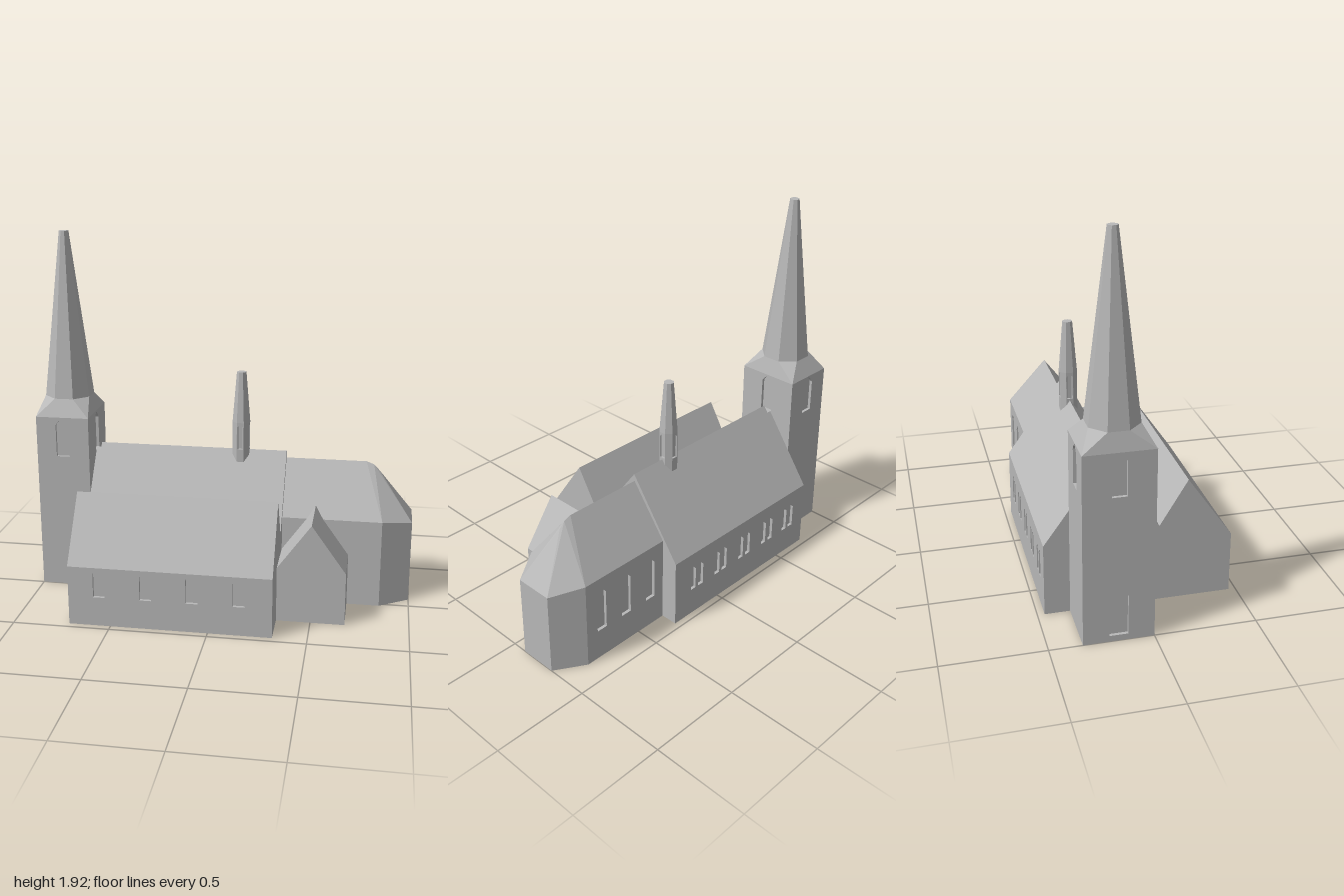
import * as THREE from 'three';
import { ConvexGeometry } from 'three/addons/geometries/ConvexGeometry.js';

const D = 0.016; // depth of window recesses

export function createModel() {
  const root = new THREE.Group();
  const stone = new THREE.MeshStandardMaterial({ color: 0xb8b8b8 });
  stone.name = 'stoneGrey';

  const add = (name, geo, x = 0, y = 0, z = 0, ry = 0) => {
    const m = new THREE.Mesh(geo, stone);
    m.name = name;
    m.position.set(x, y, z);
    m.rotation.y = ry;
    root.add(m);
    return m;
  };
  const poly = pts => new THREE.Shape(pts.map(p => new THREE.Vector2(p[0], p[1])));
  const extrude = (shape, depth) => new THREE.ExtrudeGeometry(shape, { depth, bevelEnabled: false });
  const hull = pts => new ConvexGeometry(pts.map(p => new THREE.Vector3(...p)));

  // Pointed window outline: centre, sill, tip, width
  const lancet = (u, sill, tip, w) => {
    const spring = tip - w * 0.55, h = w / 2;
    const p = new THREE.Path();
    p.moveTo(u - h, sill);
    p.lineTo(u + h, sill);
    p.lineTo(u + h, spring);
    p.quadraticCurveTo(u + h * 0.75, spring + w * 0.28, u, tip);
    p.quadraticCurveTo(u - h * 0.75, spring + w * 0.28, u - h, spring);
    return p;
  };

  // Wall slab with window openings; its outer face lies at the given position
  const wall = (name, w, y0, y1, windows, x, z, ry, depth = D) => {
    const s = poly([[-w / 2, y0], [w / 2, y0], [w / 2, y1], [-w / 2, y1]]);
    windows.forEach(a => s.holes.push(lancet(...a)));
    const g = extrude(s, depth);
    g.translate(0, 0, -depth);
    return add(name, g, x, 0, z, ry);
  };

  // Section in (z, y), extruded along x
  const alongX = (name, pts, x0, x1) =>
    add(name, extrude(poly(pts.map(([z, y]) => [-z, y])), x1 - x0), x0, 0, 0, Math.PI / 2);

  // Nave and aisle, with the ridge cut down beside the tower
  const section = ridge => [
    [-0.465 + D, 0], [-0.465 + D, 0.37], [-0.465, 0.37], ...ridge,
    [0.1, 0.405], [0.24, 0.635], [0.465, 0.315], [0.465 - D, 0.315], [0.465 - D, 0]
  ];
  alongX('nave', section([[-0.175, 0.775]]), -0.69, 0.325);
  alongX('naveWestEnd', section([[-0.2, 0.74], [-0.15, 0.74]]), -0.715, -0.69);

  const cx = -0.195;
  wall('aisleWall', 1.04, 0, 0.315,
    [-0.555, -0.315, -0.08, 0.158].map(x => [x - cx, 0.155, 0.313, 0.06]), cx, 0.465, 0);
  const pairs = [0.164, -0.02, -0.21, -0.4, -0.58].flatMap(x => [x - 0.028, x + 0.028]);
  wall('naveNorthWall', 1.04, 0, 0.37,
    pairs.map(x => [cx - x, 0.15, 0.29, 0.036]), cx, -0.465, Math.PI);

  // Choir with polygonal apse
  const foot = n => [[0.3, n], [0.845, n], [1, -0.28], [1, -0.08], [0.845, 0.02], [0.3, 0.02]];
  const choir = extrude(poly(foot(-0.375 + D).map(([x, z]) => [x, -z])), 0.43);
  choir.rotateX(-Math.PI / 2);
  add('choir', choir);
  wall('choirNorthWall', 0.545, 0, 0.43,
    [0.747, 0.583, 0.416].map(x => [0.5725 - x, 0.165, 0.41, 0.06]), 0.5725, -0.375, Math.PI);
  // Sliver of apse wall closing the corner behind the slab
  add('apseCorner', hull([0, 0.43].flatMap(y =>
    [[0.845, y, -0.375], [1, y, -0.28], [0.845, y, -0.3]])));
  const eaveY = [0.47, 0.47, 0.44, 0.44, 0.47, 0.47];
  add('choirRoof', hull([
    ...foot(-0.375).map(([x, z]) => [x, 0.43, z]),
    ...foot(-0.375).map(([x, z], i) => [x, eaveY[i], z]),
    [0.3, 0.737, -0.177], [0.75, 0.737, -0.177], [0.79, 0.722, -0.177], [0.82, 0.69, -0.177]
  ]));

  // Gabled side chapel
  add('sideChapel', extrude(poly(
    [[0.32, 0], [0.675, 0], [0.675, 0.28], [0.497, 0.53], [0.32, 0.285]]), 0.33), 0, 0, -0.06);

  // Tower
  const tx = -0.8575, tz = -0.17, tw = 0.285, td = 0.34, th = 0.955;
  const core = new THREE.BoxGeometry(tw - 2 * D, th, td - 2 * D);
  add('towerCore', core, tx, th / 2, tz);
  const bell = [0, 0.74, 0.95, 0.072];
  wall('towerFrontWall', tw, 0, th, [bell], tx, 0, 0);
  wall('towerBackWall', tw, 0, th, [bell], tx, -td, Math.PI);
  wall('towerEastWall', td - 2 * D, 0, th, [bell], tx + tw / 2, tz, Math.PI / 2);
  wall('towerWestWall', td - 2 * D, 0, th, [bell, [0, 0.03, 0.28, 0.09]], -1, tz, -Math.PI / 2);

  // Skirt from square tower to octagonal spire
  const octagon = [...Array(8).keys()].map(i => {
    const a = (i + 0.5) * Math.PI / 4;
    return [tx + 0.13 * Math.sin(a), 1.045, tz + 0.13 * Math.cos(a)];
  });
  const square = [[-1, -1], [-1, 1], [1, 1], [1, -1]].map(
    ([a, b]) => [tx + a * tw / 2, th, tz + b * td / 2]);
  add('spireSkirt', hull([...square, ...octagon]));

  // Octagonal frustum with faces turned to the main axes
  const frustum = (name, r1, r0, y0, y1, x, z) => {
    const g = new THREE.CylinderGeometry(r1, r0, y1 - y0, 8).toNonIndexed();
    g.rotateY(Math.PI / 8);
    g.computeVertexNormals();
    return add(name, g, x, (y0 + y1) / 2, z);
  };
  frustum('spire', 0.025, 0.13, 1.045, 1.92, tx, tz);

  // Ridge turret: open lantern under a tapering cap
  const rx = 0.08, rz = -0.175, ap = 0.045, side = 2 * ap * Math.tan(Math.PI / 8);
  frustum('turretCore', 0.037, 0.037, 0.7, 0.92, rx, rz);
  for (let i = 0; i < 8; i++) {
    const a = i * Math.PI / 4;
    wall('turretWall', side, 0.7, 0.93, i % 2 ? [] : [[0, 0.785, 0.922, 0.031]],
      rx + ap * Math.sin(a), rz + ap * Math.cos(a), a, 0.011);
  }
  frustum('turretSpire', 0.026, ap / Math.cos(Math.PI / 8), 0.93, 1.2, rx, rz);

  return root;
}
